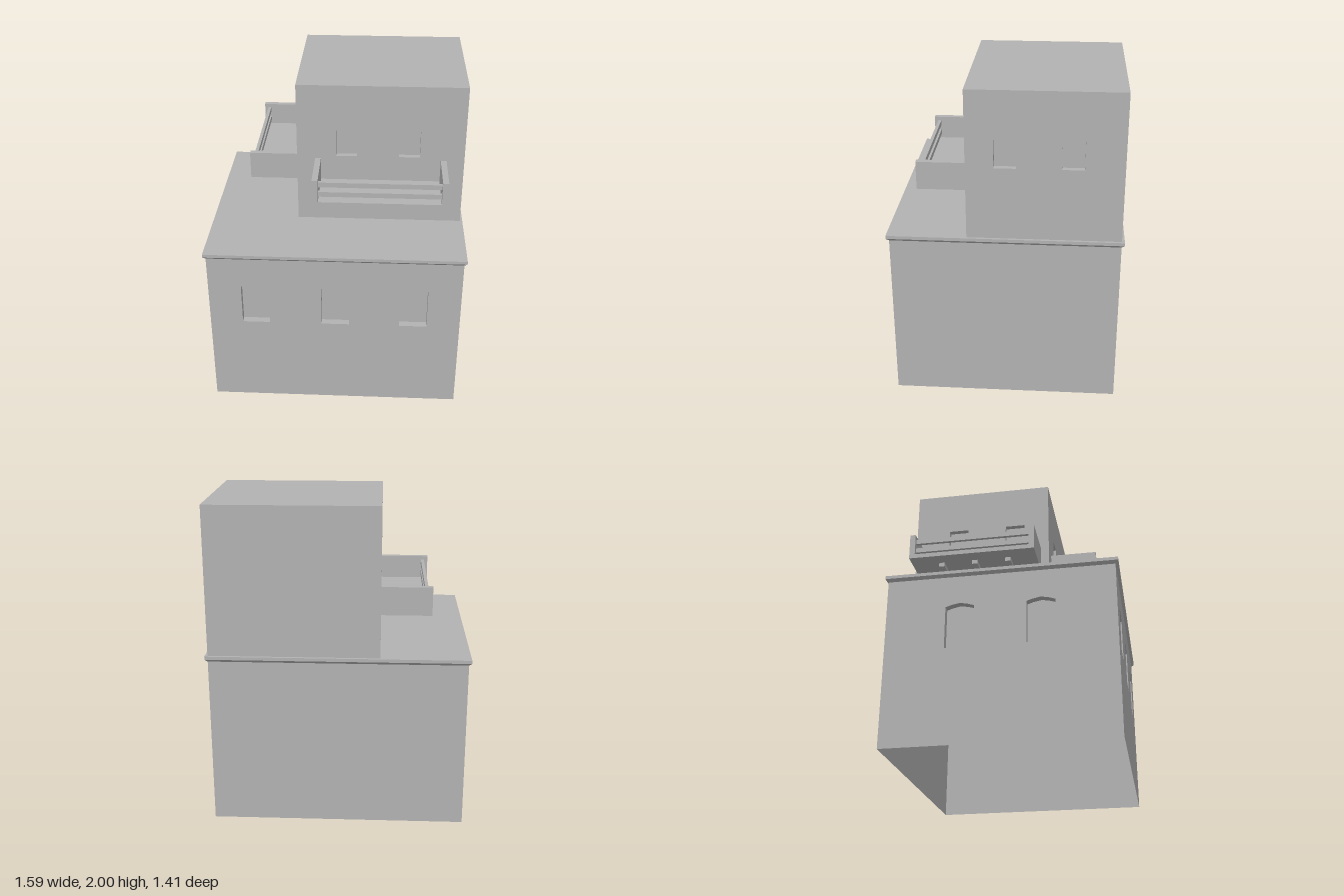
import * as THREE from 'three';
import { mergeGeometries } from 'three/addons/utils/BufferGeometryUtils.js';

const plaster = new THREE.MeshStandardMaterial({ color: 0xb2b2b2, side: THREE.DoubleSide });
plaster.name = 'grey plaster';

function mesh(name, geometry) {
  const m = new THREE.Mesh(geometry, plaster);
  m.name = name;
  return m;
}

// box given by its minimum and maximum corners
function block(name, [x0, y0, z0], [x1, y1, z1]) {
  const g = new THREE.BoxGeometry(x1 - x0, y1 - y0, z1 - z0);
  g.translate((x0 + x1) / 2, (y0 + y1) / 2, (z0 + z1) / 2);
  return mesh(name, g);
}

// window outlines, counter-clockwise, around centre u
const arched = (u) => [[-0.086, 0.589], [0.086, 0.589], [0.086, 0.854], [0.05, 0.866],
  [0, 0.876], [-0.05, 0.866], [-0.086, 0.854]].map(([x, y]) => new THREE.Vector2(u + x, y));
const square = (u) => [[-0.065, 1.536], [0.065, 1.536], [0.065, 1.709], [-0.065, 1.709]]
  .map(([x, y]) => new THREE.Vector2(u + x, y));

// the four sides of a window recess
function reveal(outline, depth) {
  const pos = [];
  outline.forEach((a, i) => {
    const b = outline[(i + 1) % outline.length];
    pos.push(a.x, a.y, 0, b.x, b.y, -depth, b.x, b.y, 0);
    pos.push(a.x, a.y, 0, a.x, a.y, -depth, b.x, b.y, -depth);
  });
  // corners reversed so the sides face into the opening
  for (let i = 0; i < pos.length; i += 9) {
    for (let k = 0; k < 3; k++) {
      [pos[i + 3 + k], pos[i + 6 + k]] = [pos[i + 6 + k], pos[i + 3 + k]];
    }
  }
  const g = new THREE.BufferGeometry();
  g.setAttribute('position', new THREE.Float32BufferAttribute(pos, 3));
  g.computeVertexNormals();
  return g;
}

// thin wall facing local +z, with recessed windows
function wall(name, u0, u1, y0, y1, outlines = [], depth = 0.04) {
  const group = new THREE.Group();
  group.name = name;
  const face = new THREE.Shape([[u0, y0], [u1, y0], [u1, y1], [u0, y1]]
    .map(([x, y]) => new THREE.Vector2(x, y)));
  face.holes = outlines.map((o) => new THREE.Path(o.slice().reverse()));
  group.add(mesh(name + 'Face', new THREE.ShapeGeometry(face)));
  if (outlines.length) {
    group.add(mesh('windowReveals', mergeGeometries(outlines.map((o) => reveal(o, depth)))));
    const panes = mesh('windowPanes', new THREE.ShapeGeometry(outlines.map((o) => new THREE.Shape(o))));
    panes.position.z = -depth;
    group.add(panes);
  }
  return group;
}

// four walls of a storey; side windows are given as z positions
function storey(name, [x0, x1], [y0, y1], [z0, z1], window, front, right, left, depth) {
  const group = new THREE.Group();
  group.name = name;
  const f = wall('frontWall', x0, x1, y0, y1, front.map(window), depth);
  f.position.z = z1;
  const b = wall('backWall', -x1, -x0, y0, y1);
  b.rotation.y = Math.PI;
  b.position.z = z0;
  const l = wall('leftWall', -z1, -z0, y0, y1, left.map((z) => window(-z)), depth);
  l.rotation.y = Math.PI / 2;
  l.position.x = x1;
  const r = wall('rightWall', z0, z1, y0, y1, right.map(window), depth);
  r.rotation.y = -Math.PI / 2;
  r.position.x = x0;
  group.add(f, b, l, r);
  return group;
}

// balcony projecting along local +z from the wall plane z = 0
function balcony(name) {
  const group = new THREE.Group();
  group.name = name;
  const h = 0.407, t = 0.036, out = 0.302;
  group.add(block('balconyFloor', [-h + t, 1.345, 0], [h - t, 1.373, out]));
  for (const s of [-h, h - t]) {
    group.add(block('sidePanel', [s, 1.345, 0], [s + t, 1.517, out]));
  }
  for (const y of [1.398, 1.462]) {
    group.add(block('rail', [-h + t, y, 0.259], [h - t, y + 0.032, 0.279]));
  }
  for (const x of [-0.212, 0.005, 0.223]) {
    group.add(block('bracket', [x - 0.018, 1.318, 0], [x + 0.018, 1.345, 0.212]));
  }
  return group;
}

export function createModel() {
  const model = new THREE.Group();
  model.name = 'house';

  // ground storey, open underneath
  model.add(storey('lowerStorey', [-0.781, 0.781], [0, 1.053], [-0.688, 0.688], arched,
    [-0.491, 0.005, 0.49], [-0.24, 0.245], [], 0.045));

  // roof slab with a bevelled cornice below
  model.add(block('roofSlab', [-0.797, 1.07, -0.705], [0.797, 1.09, 0.705]));
  const bevel = new THREE.BoxGeometry(1.594, 0.017, 1.41);
  const p = bevel.attributes.position;
  for (let i = 0; i < p.count; i++) {
    if (p.getY(i) < 0) {
      p.setX(i, Math.sign(p.getX(i)) * 0.781);
      p.setZ(i, Math.sign(p.getZ(i)) * 0.688);
    }
  }
  bevel.computeVertexNormals();
  bevel.translate(0, 1.0615, 0);
  model.add(mesh('cornice', bevel));

  // upper storey and its flat roof
  model.add(storey('upperStorey', [-0.255, 0.781], [1.09, 2], [-0.688, 0.225], square,
    [0.053, 0.442], [-0.004, -0.394], [-0.004, -0.394], 0.035));
  const roof = new THREE.PlaneGeometry(1.036, 0.913);
  roof.rotateX(-Math.PI / 2);
  roof.translate(0.263, 2, -0.2315);
  model.add(mesh('upperRoof', roof));

  // balconies on the front and right walls
  const frontBalcony = balcony('frontBalcony');
  frontBalcony.position.set(0.2645, 0, 0.225);
  const sideBalcony = balcony('sideBalcony');
  sideBalcony.rotation.y = -Math.PI / 2;
  sideBalcony.position.set(-0.255, 0, -0.2355);
  model.add(frontBalcony, sideBalcony);

  return model;
}
